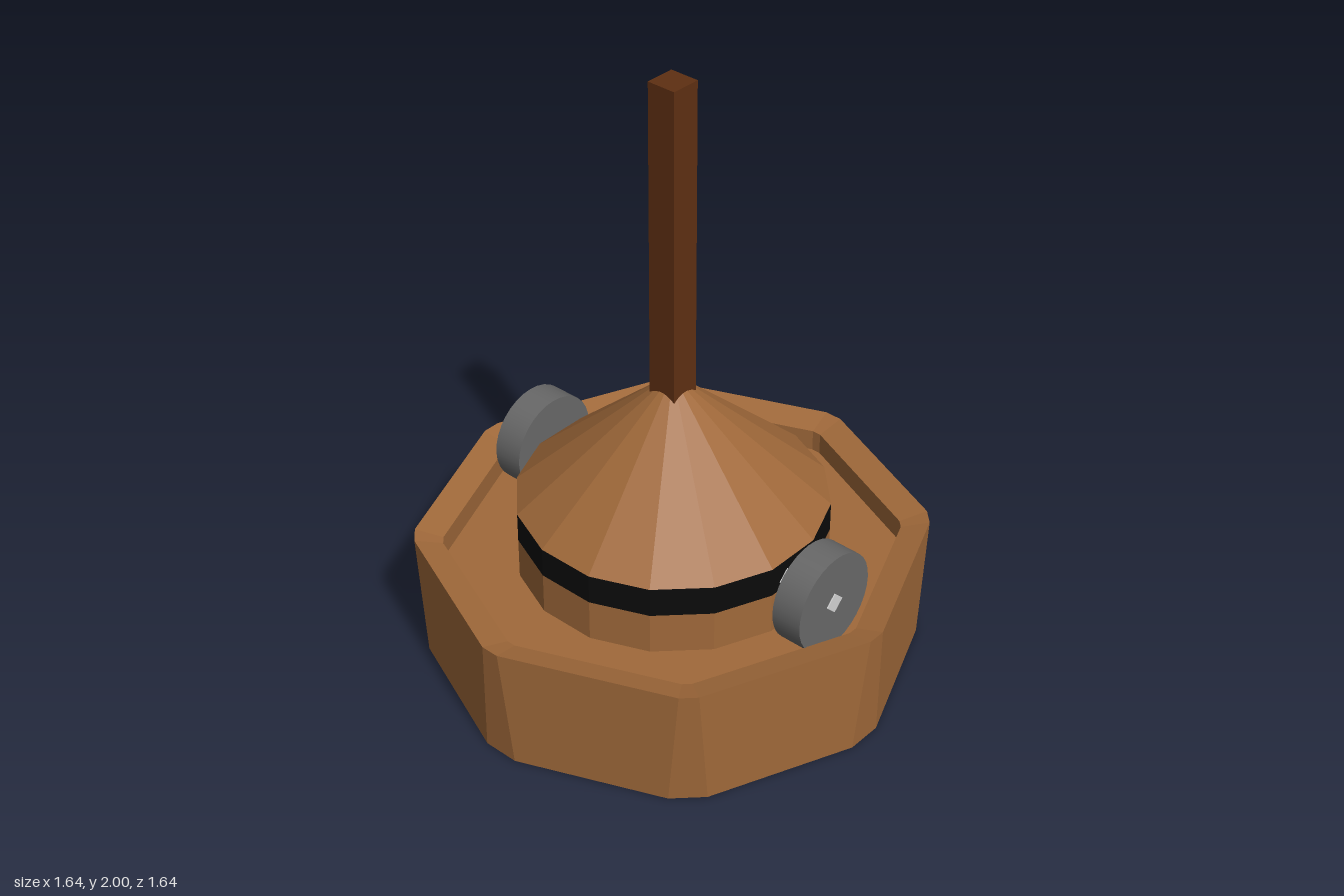
import * as THREE from 'three';

const wood = new THREE.MeshStandardMaterial({ color: 0xa0693a });
wood.name = 'wood';
const darkWood = new THREE.MeshStandardMaterial({ color: 0x5e2f12 });
darkWood.name = 'darkWood';
const black = new THREE.MeshStandardMaterial({ color: 0x0b0b0b });
black.name = 'black';
const grey = new THREE.MeshStandardMaterial({ color: 0x686868 });
grey.name = 'grey';
const paleMetal = new THREE.MeshStandardMaterial({ color: 0xd2d2d2 });
paleMetal.name = 'paleMetal';

function addPart(parent, name, geometry, material, x = 0, y = 0, z = 0) {
  const mesh = new THREE.Mesh(geometry, material);
  mesh.name = name;
  mesh.position.set(x, y, z);
  parent.add(mesh);
  return mesh;
}

// Gives every face its own flat normal
function faceted(geometry) {
  const flat = geometry.index ? geometry.toNonIndexed() : geometry;
  flat.computeVertexNormals();
  return flat;
}

// Octagon ring with clipped corners: two points per corner, `clip` degrees to each side
function octagonRing(radius, clip, y) {
  const ring = [];
  for (let i = 0; i < 8; i++) {
    for (const side of [-1, 1]) {
      const a = THREE.MathUtils.degToRad(i * 45 + side * clip);
      ring.push([radius * Math.sin(a), y, radius * Math.cos(a)]);
    }
  }
  return ring;
}

// Skin over rings, closed by a fan at the first and last ring
function skinRings(rings) {
  const positions = [];
  const n = rings[0].length;
  const last = rings[rings.length - 1];
  for (let i = 0; i < n; i++) {
    const j = (i + 1) % n;
    for (let k = 0; k < rings.length - 1; k++) {
      const [a, b, c, d] = [rings[k][i], rings[k][j], rings[k + 1][j], rings[k + 1][i]];
      positions.push(...a, ...b, ...c, ...a, ...c, ...d);
    }
    positions.push(0, rings[0][0][1], 0, ...rings[0][j], ...rings[0][i]);
    positions.push(0, last[0][1], 0, ...last[i], ...last[j]);
  }
  const geometry = new THREE.BufferGeometry();
  geometry.setAttribute('position', new THREE.Float32BufferAttribute(positions, 3));
  return faceted(geometry);
}

// Sixteen-sided drum section between two heights
function drum(topRadius, bottomRadius, y0, y1) {
  const geometry = new THREE.CylinderGeometry(topRadius, bottomRadius, y1 - y0, 16);
  geometry.rotateY(Math.PI / 16);
  geometry.translate(0, (y0 + y1) / 2, 0);
  return faceted(geometry);
}

export function createModel() {
  const model = new THREE.Group();
  model.name = 'steeringCapstan';

  // Octagonal tray with a sloping lip and a sunken floor
  addPart(model, 'base', skinRings([
    octagonRing(0.797, 4.3, 0),
    octagonRing(0.82, 2.1, 0.42),
    octagonRing(0.73, 1.2, 0.395),
    octagonRing(0.73, 1.2, 0.32),
  ]), wood);

  // Turning body: drum, black band and conical roof
  addPart(model, 'drum', drum(0.5, 0.5, 0.31, 0.46), wood);
  addPart(model, 'band', drum(0.5, 0.5, 0.46, 0.56), black);
  addPart(model, 'cone', drum(0, 0.5, 0.56, 1.005), wood);

  // Square mast
  addPart(model, 'mast', new THREE.BoxGeometry(0.1, 1.1, 0.1), darkWood, 0, 1.45, 0);

  // Wheels on square axles; the front axle is turned onto its corner
  const wheels = [
    { name: 'front', x: -0.027, y: 0.49, z: 0.622, end: 0.678, turn: Math.PI / 4 },
    { name: 'back', x: 0.003, y: 0.495, z: -0.576, end: -0.633, turn: 0 },
  ];
  for (const w of wheels) {
    const group = new THREE.Group();
    group.name = w.name + 'WheelAssembly';
    const disc = new THREE.CylinderGeometry(0.165, 0.165, 0.104, 32);
    disc.rotateX(Math.PI / 2);
    addPart(group, w.name + 'Wheel', disc, grey, w.x, w.y, w.z);
    const inner = 0.4 * Math.sign(w.end);
    const axle = new THREE.BoxGeometry(0.05, 0.05, Math.abs(w.end - inner));
    axle.rotateZ(w.turn);
    addPart(group, w.name + 'Axle', axle, paleMetal, w.x, w.y, (w.end + inner) / 2);
    model.add(group);
  }
  return model;
}
